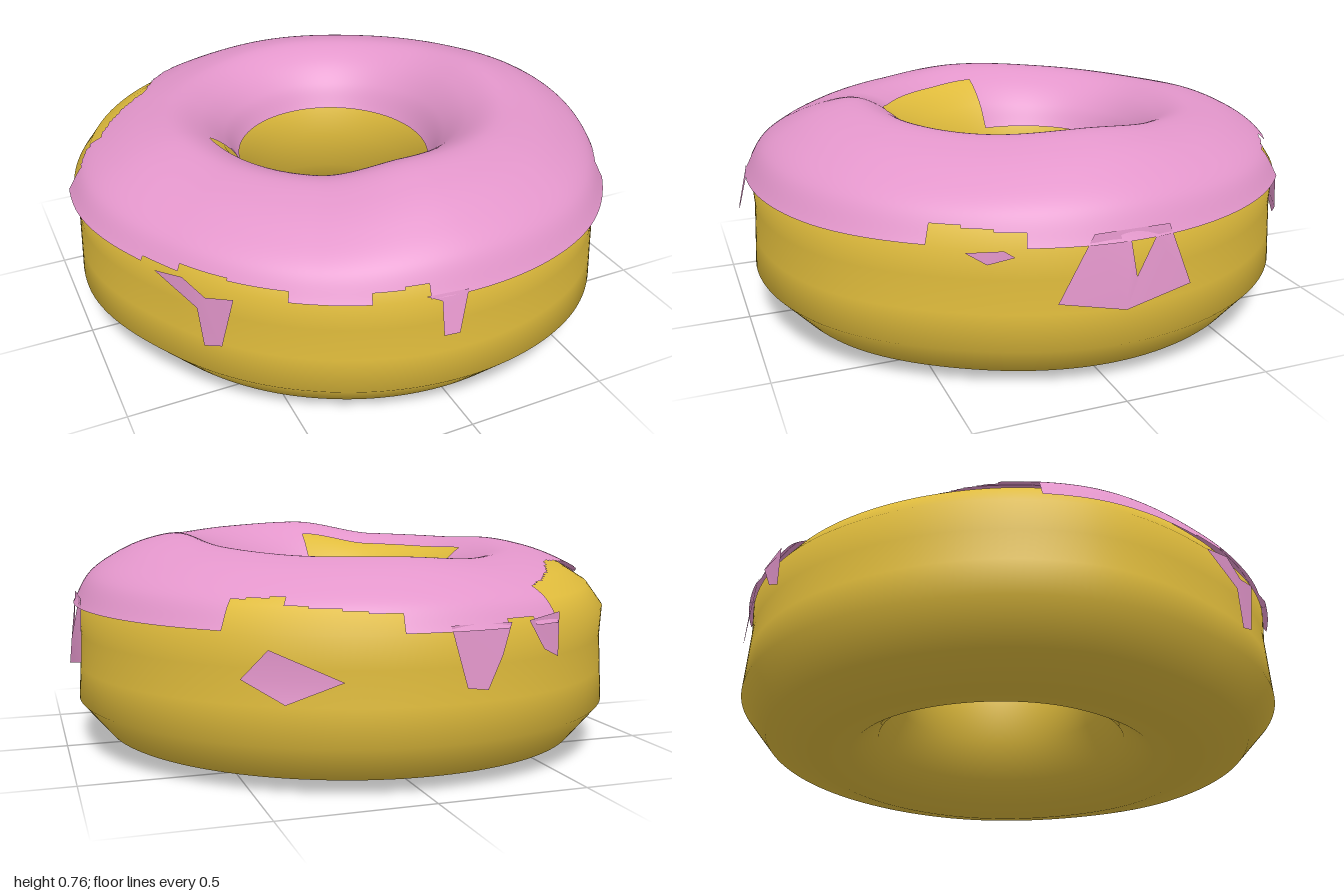
import * as THREE from 'three';

const SEG = 240, ROWS = 84;
const { clamp, lerp, degToRad } = THREE.MathUtils;

// Outer radius and crest height every 30 degrees (0 = +x, 90 = +z)
const outline = new THREE.CatmullRomCurve3([
  [0.95, 0.75], [0.938, 0.737], [0.962, 0.745], [0.958, 0.755], [0.948, 0.706], [0.945, 0.702],
  [0.985, 0.71], [0.99, 0.692], [1.0, 0.682], [0.99, 0.7], [0.97, 0.703], [0.955, 0.722],
].map(([r, h]) => new THREE.Vector3(r, h, 0)), true);

// Places a nominal section point (r, y) on the uneven ring at an angle in degrees
function place(deg, r, y) {
  const a = degToRad(deg), c = Math.cos(a), s = Math.sin(a);
  const { x: outer, y: crest } = outline.getPoint((((deg % 360) + 360) % 360) / 360);
  const t = (r - 0.35) / 0.62;
  const lift = clamp((y - 0.5) / 0.227, 0, 1);
  return [
    lerp(-0.012, 0, t) + lerp(0.333, outer, t) * c,
    y + (crest - 0.727) * lift,
    lerp(-0.055, 0, t) + lerp(0.35, outer, t) * s,
  ];
}

// Skins a section around the ring; keep(deg, row) can leave cells out after shading is smoothed
function ring(section, closed, keep = () => true) {
  const pos = [], all = [], kept = [];
  const n = section.length;
  for (let i = 0; i < SEG; i++) {
    for (const [r, y] of section) pos.push(...place((i * 360) / SEG, r, y));
    for (let j = 0; j < (closed ? n : n - 1); j++) {
      const k = (j + 1) % n, p = i * n, q = ((i + 1) % SEG) * n;
      const cell = [p + j, p + k, q + j, p + k, q + k, q + j];
      all.push(...cell);
      if (keep(((i + 0.5) * 360) / SEG, j)) kept.push(...cell);
    }
  }
  const geo = new THREE.BufferGeometry();
  geo.setAttribute('position', new THREE.Float32BufferAttribute(pos, 3));
  geo.setIndex(all);
  geo.computeVertexNormals();
  geo.setIndex(kept);
  return geo;
}

const doughSection = [
  [0.68, 0], [0.87, 0.05], [0.97, 0.17], [0.963, 0.29], [0.957, 0.4], [0.963, 0.5],
  [0.908, 0.59], [0.823, 0.652], [0.716, 0.696], [0.6, 0.713], [0.508, 0.67],
  [0.43, 0.592], [0.382, 0.495], [0.355, 0.38], [0.38, 0.23], [0.45, 0.09], [0.55, 0.02],
];

const icingCurve = new THREE.CatmullRomCurve3([
  [0.98, 0.51], [0.925, 0.6], [0.83, 0.665], [0.72, 0.71],
  [0.6, 0.727], [0.5, 0.682], [0.42, 0.6], [0.37, 0.5],
].map(([r, y]) => new THREE.Vector3(r, y, 0)));
const icingSection = icingCurve.getPoints(ROWS).map((p) => [p.x, p.y]);

// Where the icing stops short on the outside: [from, to, first row, last row]
const outerGaps = [
  [18, 36, 4, 7], [99, 109, 5, 3], [125, 147, 3, 5], [147, 156, 2, 2],
  [189, 197, 10, 16], [197, 220, 20, 31], [220, 245, 31, 18], [251, 257, 4, 4],
  [276, 297, 7, 11], [297, 308, 15, 12],
];

function hasIcing(deg, row) {
  const gap = outerGaps.find(([a, b]) => deg >= a && deg < b);
  if (gap) {
    const [a, b, first, last] = gap;
    if (row < lerp(first, last, (deg - a) / (b - a))) return false;
  }
  return !(deg > 90 && deg < 177 && row >= 59);
}

// Drips: outlines as [angle, y], wrapped on the outer wall
const drips = [
  { pts: [[6, 0.54], [12.5, 0.34], [0, 0.3], [-13.5, 0.34], [-9, 0.54]],
    hole: [[-1, 0.51], [-6, 0.51], [-2, 0.4]], flare: 0.025 },
  { pts: [[29, 0.49], [25, 0.455], [20, 0.48], [22, 0.5]] },
  { pts: [[100, 0.52], [91.8, 0.52], [94, 0.39], [97, 0.39], [97, 0.5]], flare: 0.045 },
  { pts: [[153, 0.49], [146, 0.51], [141, 0.46], [135, 0.48], [138, 0.29], [142, 0.27], [143, 0.41]] },
  { pts: [[252, 0.53], [244, 0.55], [244, 0.4], [248, 0.43]] },
  { pts: [[268, 0.53], [256, 0.53], [258, 0.43], [261, 0.33], [265, 0.34]], flare: 0.01 },
  { pts: [[299, 0.46], [304, 0.37], [296, 0.3], [286, 0.37]], flare: 0.01 },
];

function dripGeometry({ pts, hole, flare = 0 }) {
  const toV = ([a, y]) => new THREE.Vector2(a, y);
  const shape = new THREE.Shape(pts.map(toV));
  if (hole) shape.holes.push(new THREE.Path(hole.map(toV)));
  const geo = new THREE.ShapeGeometry(shape);
  const p = geo.attributes.position;
  for (let i = 0; i < p.count; i++) {
    const y = p.getY(i);
    const out = flare * clamp((0.54 - y) / 0.2, 0, 1);
    p.setXYZ(i, ...place(p.getX(i), 0.974 + out, y));
  }
  geo.computeVertexNormals();
  return geo;
}

export function createModel() {
  const group = new THREE.Group();
  group.name = 'doughnut';
  const doughMat = new THREE.MeshStandardMaterial({ color: 0xe0bc3c });
  const icingMat = new THREE.MeshStandardMaterial({ color: 0xe396cb, side: THREE.DoubleSide });

  const add = (name, geo, mat) => {
    const mesh = new THREE.Mesh(geo, mat);
    mesh.name = name;
    group.add(mesh);
  };
  add('dough', ring(doughSection, true), doughMat);
  add('icing', ring(icingSection, false, hasIcing), icingMat);
  drips.forEach((d, i) => add('icingDrip' + (i + 1), dripGeometry(d), icingMat));
  return group;
}
